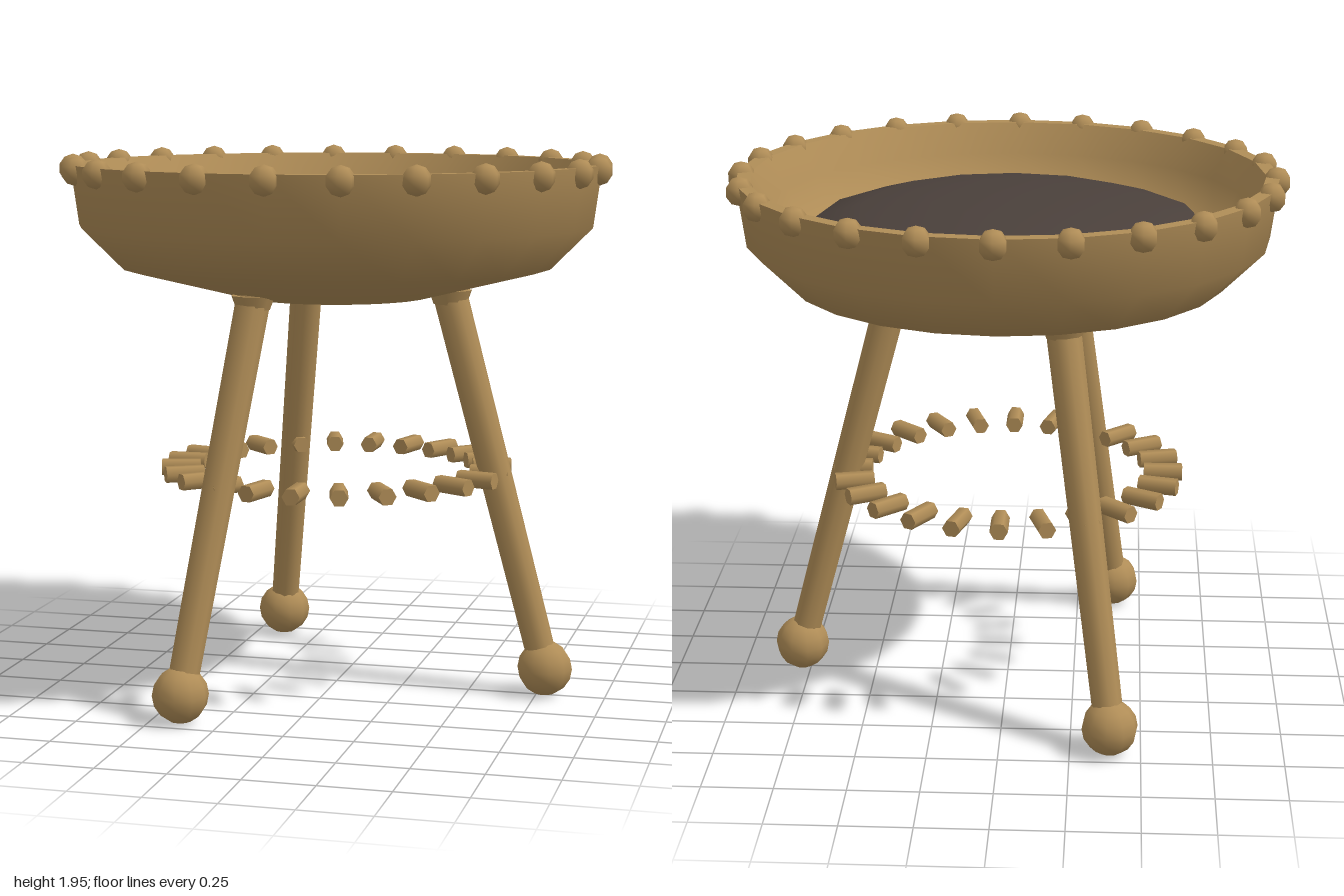
import * as THREE from 'three';

const bronze = new THREE.MeshStandardMaterial({ color: 0xb08d57 });
bronze.name = 'bronze';
const coal = new THREE.MeshStandardMaterial({ color: 0x4a403b });
coal.name = 'coal';

function part(name, geometry, material, parent, x = 0, y = 0, z = 0) {
  const mesh = new THREE.Mesh(geometry, material);
  mesh.name = name;
  mesh.position.set(x, y, z);
  parent.add(mesh);
  return mesh;
}

// Surface of revolution; points run upward for an outward-facing wall
function lathe(points) {
  return new THREE.LatheGeometry(points.map(([r, y]) => new THREE.Vector2(r, y)), 24);
}

// Places copies of a part evenly around the vertical axis
function ring(name, count, parent, build) {
  const group = new THREE.Group();
  group.name = name;
  for (let i = 0; i < count; i++) build(group, (i / count) * Math.PI * 2);
  parent.add(group);
}

export function createModel() {
  const model = new THREE.Group();
  model.name = 'brazier';

  // Bowl: outer wall, flat lip and inner wall
  const bowl = new THREE.Group();
  bowl.name = 'bowl';
  model.add(bowl);
  part('bowlOuter', lathe([[0, 1.44], [0.34, 1.44], [0.78, 1.55], [0.93, 1.7], [0.96, 1.92]]), bronze, bowl);
  part('bowlLip', lathe([[0.96, 1.92], [0.91, 1.92]]), bronze, bowl);
  part('bowlInner', lathe([[0.91, 1.92], [0.85, 1.81], [0.77, 1.63], [0.4, 1.52], [0, 1.5]]), bronze, bowl);

  // Low mound of coals
  const mound = new THREE.SphereGeometry(0.74, 16, 8);
  mound.scale(1, 0.2, 1);
  part('coals', mound, coal, model, 0, 1.7, 0);

  // Beads around the rim
  const bead = new THREE.SphereGeometry(0.052, 6, 5);
  bead.rotateY(Math.PI / 6);
  ring('rimBeads', 24, model, (g, a) =>
    part('rimBead', bead, bronze, g, 0.948 * Math.cos(a), 1.9, 0.948 * Math.sin(a)));

  // Splayed legs with a collar and a ball foot
  const top = new THREE.Vector3(0.415, 1.47, 0);
  const foot = new THREE.Vector3(0.78, 0.1, 0);
  const legGeometry = new THREE.CylinderGeometry(0.062, 0.054, top.distanceTo(foot), 10);
  const collarGeometry = new THREE.CylinderGeometry(0.078, 0.06, 0.05, 10);
  const footGeometry = new THREE.SphereGeometry(0.1, 10, 8);
  ring('legs', 3, model, (g, a) => {
    const leg = new THREE.Group();
    leg.name = 'legAssembly';
    leg.rotation.y = a;
    g.add(leg);
    const mid = top.clone().add(foot).multiplyScalar(0.5);
    const shaft = part('leg', legGeometry, bronze, leg, mid.x, mid.y, 0);
    shaft.quaternion.setFromUnitVectors(new THREE.Vector3(0, 1, 0), top.clone().sub(foot).normalize());
    part('legCollar', collarGeometry, bronze, leg, top.x + 0.005, 1.445, 0);
    part('ballFoot', footGeometry, bronze, leg, foot.x, foot.y, 0);
  });

  // Ring of short radial pegs between the legs
  const peg = new THREE.CylinderGeometry(0.032, 0.032, 0.14, 6);
  peg.rotateZ(Math.PI / 2);
  ring('pegRing', 24, model, (g, a) => {
    const mesh = part('peg', peg, bronze, g, 0.57 * Math.cos(a), 0.81, 0.57 * Math.sin(a));
    mesh.rotation.y = -a;
  });

  return model;
}
